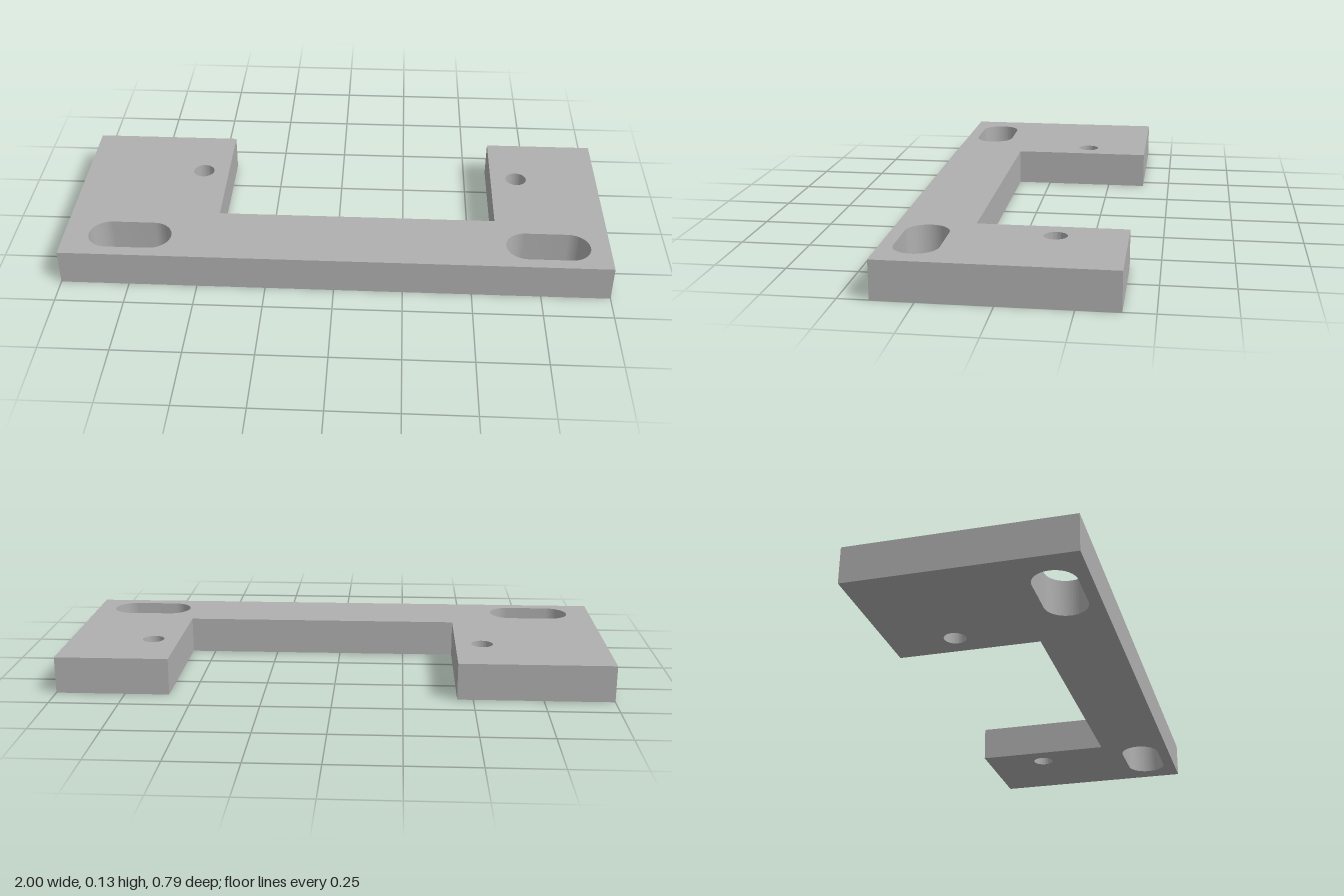
import * as THREE from 'three';
import { toCreasedNormals } from 'three/addons/utils/BufferGeometryUtils.js';

const HEIGHT = 0.134;
const DEPTH = 0.395; // half depth

// Plan shapes are drawn with y = -z, then laid flat.
function roundHole(x, z, r) {
  return new THREE.Path().absarc(x, -z, r, 0, Math.PI * 2, true);
}

function slotHole(x, z, halfLength, r) {
  const c = halfLength - r;
  const path = new THREE.Path();
  path.absarc(x + c, -z, r, -Math.PI / 2, Math.PI / 2, false);
  path.absarc(x - c, -z, r, Math.PI / 2, Math.PI * 1.5, false);
  path.closePath();
  return path;
}

export function createModel() {
  const model = new THREE.Group();
  model.name = 'mountingBracket';
  const greyMetal = new THREE.MeshStandardMaterial({ color: 0xb0b0b0 });
  greyMetal.name = 'grey metal';

  // U-shaped outline with one wide and one narrow arm
  const outline = new THREE.Shape([
    [-1, -DEPTH], [1, -DEPTH], [1, DEPTH], [0.589, DEPTH],
    [0.589, -0.126], [-0.443, -0.126], [-0.443, DEPTH], [-1, DEPTH],
  ].map(([x, y]) => new THREE.Vector2(x, y)));

  // Slots at the front, screw holes in the arms
  for (const x of [-0.756, 0.776]) outline.holes.push(slotHole(x, 0.274, 0.153, 0.076));
  for (const x of [-0.542, 0.688]) outline.holes.push(roundHole(x, -0.155, 0.04));

  const plate = new THREE.ExtrudeGeometry(outline, {
    depth: HEIGHT, bevelEnabled: false, curveSegments: 24,
  });
  plate.rotateX(-Math.PI / 2);

  const mesh = new THREE.Mesh(toCreasedNormals(plate, 0.6), greyMetal);
  mesh.name = 'slottedPlate';
  model.add(mesh);
  return model;
}
